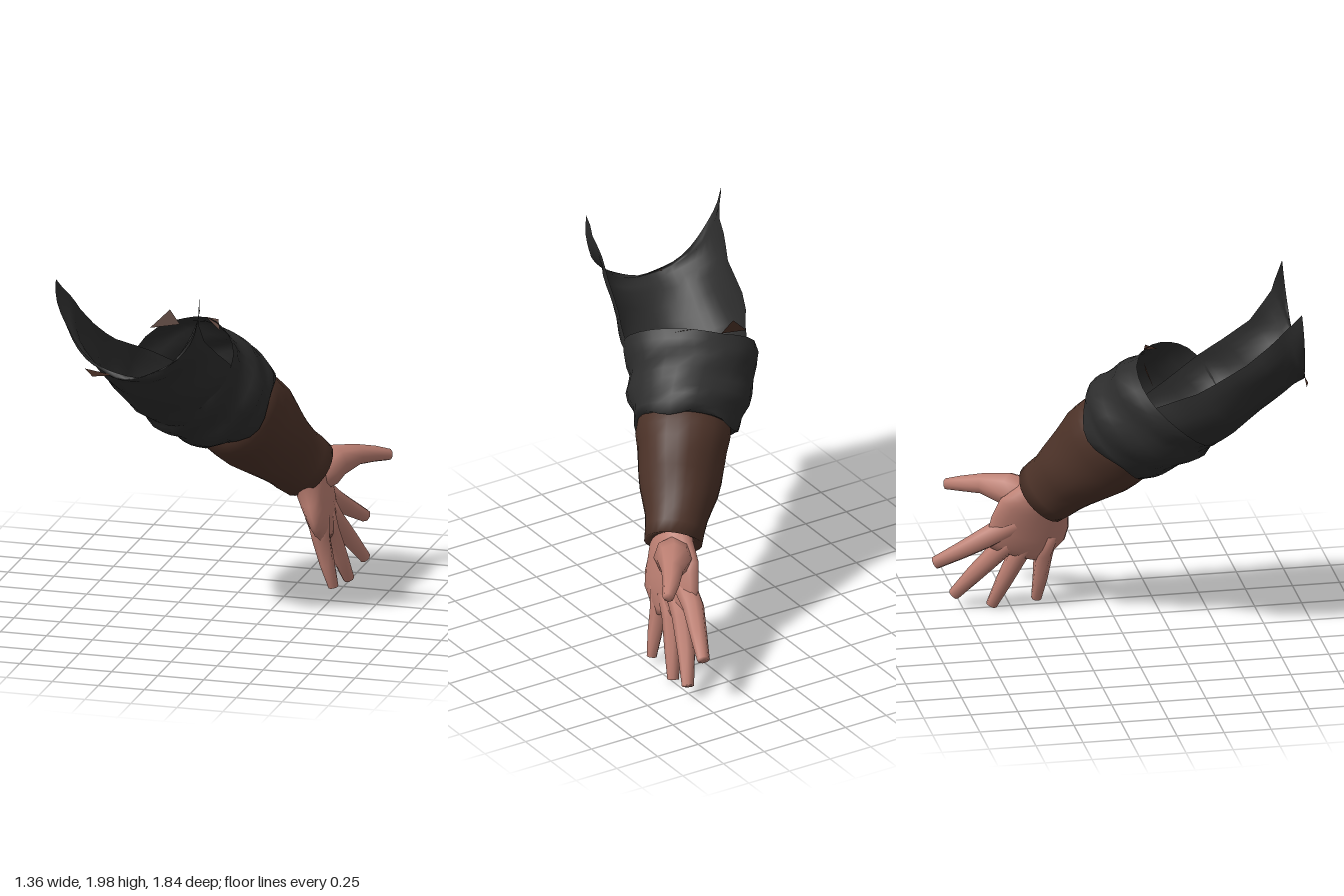
import * as THREE from 'three';

const V = (x, y, z) => new THREE.Vector3(x, y, z);

// Insert n linear steps between neighbouring rows of numbers
function refine(rows, n) {
  const out = [];
  for (let i = 0; i < rows.length - 1; i++)
    for (let k = 0; k < n; k++)
      out.push(rows[i].map((a, j) => a + (rows[i + 1][j] - a) * k / n));
  out.push(rows[rows.length - 1]);
  return out;
}

// Skin a row of elliptical sections.
// Row: centre x y z, half width, half height, direction x y z, [half span in degrees]
function loft(rows, { sides = 20, hint = null, open = false, cap = false, warp = null } = {}) {
  const pos = [], idx = [];
  const cols = open ? sides + 1 : sides;
  rows.forEach((r, i) => {
    const c = V(r[0], r[1], r[2]);
    const d = V(r[5], r[6], r[7]).normalize();
    const u = hint ? hint.clone().addScaledVector(d, -hint.dot(d)) : V(-d.z, 0, d.x);
    u.normalize();
    const v = u.clone().cross(d);
    const span = open ? THREE.MathUtils.degToRad(r[8]) : Math.PI;
    for (let j = 0; j < cols; j++) {
      const a = -Math.PI / 2 - span + 2 * span * j / sides;
      const w = warp ? warp(a, i, rows.length) : [1, 0];
      const p = c.clone()
        .addScaledVector(u, Math.cos(a) * r[3] * w[0])
        .addScaledVector(v, Math.sin(a) * r[4] * w[0])
        .addScaledVector(d, w[1]);
      pos.push(p.x, p.y, p.z);
    }
  });
  for (let i = 0; i < rows.length - 1; i++)
    for (let j = 0; j < sides; j++) {
      const k = (j + 1) % cols;
      const a = i * cols + j, b = i * cols + k, e = a + cols, f = b + cols;
      idx.push(a, e, b, b, e, f);
    }
  if (cap) {
    const n = pos.length / 3, l = (rows.length - 1) * cols;
    for (const r of [rows[0], rows[rows.length - 1]]) pos.push(r[0], r[1], r[2]);
    for (let j = 0; j < sides; j++) {
      const k = (j + 1) % cols;
      idx.push(n, j, k, n + 1, l + k, l + j);
    }
  }
  const g = new THREE.BufferGeometry();
  g.setAttribute('position', new THREE.Float32BufferAttribute(pos, 3));
  g.setIndex(idx);
  g.computeVertexNormals();
  return g;
}

// Tapered digit through points [x, y, z, radius]
function digit(pts) {
  const rows = pts.map((p, i) => {
    const a = pts[Math.max(0, i - 1)], b = pts[Math.min(pts.length - 1, i + 1)];
    return [p[0], p[1], p[2], p[3], p[3], b[0] - a[0], b[1] - a[1], b[2] - a[2]];
  });
  return loft(rows, { sides: 8, cap: true });
}

export function createModel() {
  const group = new THREE.Group();
  const mat = (name, color, side = THREE.FrontSide) => {
    const m = new THREE.MeshStandardMaterial({ color, side });
    m.name = name;
    return m;
  };
  const black = mat('black cloth', 0x2d2d2d, THREE.DoubleSide);
  const brown = mat('brown cloth', 0x4c3228, THREE.DoubleSide);
  const skin = mat('skin', 0xbd8073);
  const add = (name, geo, m, parent = group) => {
    const mesh = new THREE.Mesh(geo, m);
    mesh.name = name;
    parent.add(mesh);
  };

  // Bulging black sleeve around the elbow: diagonal folds, ragged hem, flared and drawn-back rim
  const folds = (a, i, n) => {
    const rim = Math.max(0, 1 - i / 4);
    return [
      1 + 0.03 * Math.sin(2 * a + i * 1.5) + 0.018 * Math.sin(5 * a - i)
        + 0.16 * rim * Math.max(0, Math.cos(a - 2.3)) ** 4,
      (i === n - 4 ? 0.025 * Math.sin(4 * a + i) : 0) - 0.08 * rim * Math.max(0, Math.cos(a - 0.4)),
    ];
  };
  add('elbowSleeve', loft(refine([
    [-0.145, 1.37, 0.29, 0.335, 0.30, 0.28, -0.70, -0.65],
    [-0.11, 1.30, 0.19, 0.335, 0.315, 0.34, -0.70, -0.62],
    [-0.02, 1.20, 0.08, 0.315, 0.315, 0.42, -0.69, -0.59],
    [0.05, 1.12, 0.00, 0.265, 0.275, 0.46, -0.68, -0.57],
    [0.04, 1.13, 0.01, 0.20, 0.20, 0.46, -0.68, -0.57],
  ], 3), { sides: 28, warp: folds }), black);

  // Torn upper sleeve: a channel that is open along its top and runs down inside the elbow
  const torn = (a, i) => [1 + 0.02 * Math.sin(3 * a + i * 1.6) + 0.012 * Math.sin(7 * a - i), 0];
  add('upperSleeve', loft(refine([
    [0.02, 1.16, 0.04, 0.22, 0.22, 0.42, -0.69, -0.59, 110],
    [-0.13, 1.34, 0.25, 0.305, 0.30, 0.30, -0.70, -0.65, 106],
    [-0.19, 1.49, 0.42, 0.34, 0.31, 0.20, -0.70, -0.69, 98],
    [-0.235, 1.68, 0.62, 0.33, 0.31, 0.16, -0.68, -0.72, 90],
    [-0.26, 1.84, 0.76, 0.35, 0.36, 0.12, -0.40, -0.85, 90],
    [-0.27, 1.97, 0.85, 0.40, 0.45, 0.06, -0.10, -1.00, 93],
  ], 3), { sides: 24, open: true, warp: torn }), black);

  // Brown forearm sleeve with a turned-in wrist hem
  const wrinkles = (a, i) => [1 + 0.022 * Math.sin(2 * a + i * 1.3) + 0.015 * Math.sin(4 * a - i), 0];
  const D = [0.46, -0.68, -0.57];
  add('forearmSleeve', loft(refine([
    [0.03, 1.15, 0.03, 0.235, 0.235, ...D],
    [0.08, 1.08, -0.02, 0.25, 0.265, ...D],
    [0.145, 0.98, -0.11, 0.23, 0.245, ...D],
    [0.215, 0.87, -0.20, 0.20, 0.215, ...D],
    [0.28, 0.775, -0.28, 0.17, 0.18, ...D],
    [0.35, 0.685, -0.36, 0.15, 0.17, ...D],
    [0.335, 0.71, -0.34, 0.06, 0.07, ...D],
  ], 2), { sides: 24, warp: wrinkles }), brown);

  // Scraps of brown lining at the torn rims
  const scrap = (name, ...p) => {
    const g = new THREE.BufferGeometry().setFromPoints(p);
    g.computeVertexNormals();
    add(name, g, brown);
  };
  scrap('rimLining', V(-0.38, 1.53, 0.09), V(-0.22, 1.56, 0.08), V(-0.28, 1.63, 0.06));
  scrap('rightRimLining', V(-0.07, 1.62, 0.10), V(0.03, 1.58, 0.19), V(0.0, 1.62, 0.12));
  scrap('endLining', V(-0.50, 1.54, 0.89), V(-0.46, 1.50, 0.89), V(-0.34, 1.52, 0.90));

  // Hand: flat palm, thumb and four spread fingers
  const hand = new THREE.Group();
  hand.name = 'hand';
  group.add(hand);
  add('palm', loft(refine([
    [0.32, 0.74, -0.30, 0.12, 0.09, 0.3, -0.7, -0.5],
    [0.355, 0.66, -0.35, 0.16, 0.09, 0.2, -0.75, -0.5],
    [0.38, 0.57, -0.395, 0.215, 0.08, 0.15, -0.8, -0.45],
    [0.40, 0.48, -0.425, 0.22, 0.07, 0.12, -0.85, -0.4],
    [0.41, 0.40, -0.465, 0.195, 0.058, 0.1, -0.9, -0.35],
    [0.42, 0.335, -0.485, 0.16, 0.04, 0.1, -0.9, -0.35],
  ], 2), { sides: 16, hint: V(-0.12, 0.36, -0.92), cap: true }), skin, hand);
  const digits = {
    thumb: [[0.375, 0.61, -0.37, 0.07], [0.405, 0.66, -0.45, 0.105], [0.45, 0.69, -0.53, 0.09],
      [0.53, 0.695, -0.64, 0.057], [0.60, 0.675, -0.74, 0.043], [0.66, 0.655, -0.81, 0.03]],
    indexFinger: [[0.38, 0.53, -0.50, 0.065], [0.40, 0.445, -0.64, 0.058], [0.45, 0.36, -0.77, 0.046],
      [0.50, 0.28, -0.90, 0.034]],
    middleFinger: [[0.40, 0.46, -0.48, 0.065], [0.425, 0.36, -0.57, 0.055], [0.475, 0.22, -0.69, 0.046],
      [0.53, 0.085, -0.795, 0.032]],
    ringFinger: [[0.41, 0.44, -0.42, 0.065], [0.43, 0.32, -0.475, 0.053], [0.465, 0.17, -0.54, 0.044],
      [0.50, 0.025, -0.60, 0.03]],
    littleFinger: [[0.41, 0.44, -0.32, 0.065], [0.425, 0.32, -0.34, 0.05], [0.455, 0.18, -0.35, 0.04],
      [0.485, 0.05, -0.365, 0.027]],
  };
  for (const [name, pts] of Object.entries(digits)) add(name, digit(pts), skin, hand);

  return group;
}
